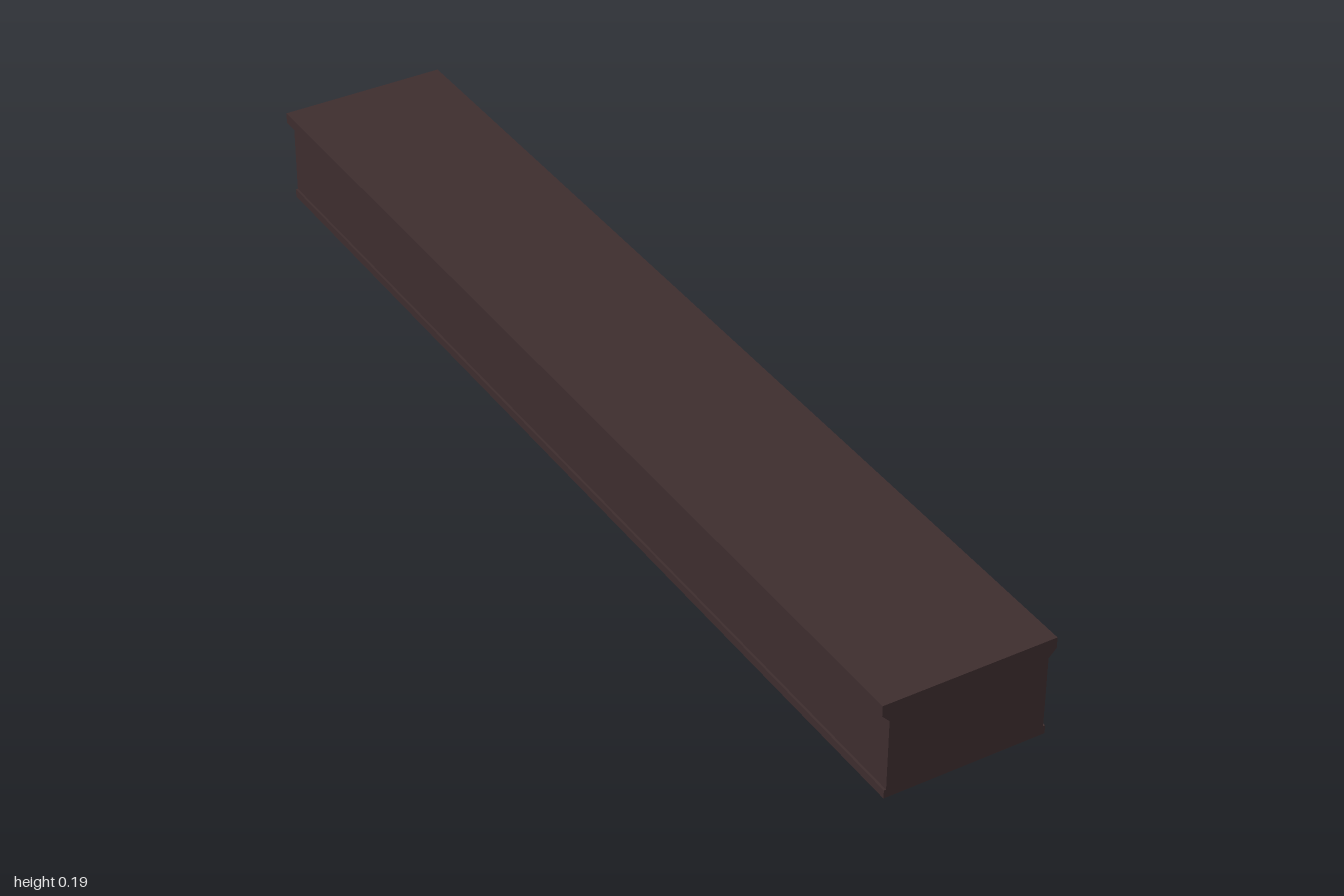
import * as THREE from 'three';

const LENGTH = 2;

// Extrudes a mirrored cross-section, given as [half width, height] from bottom to top
function beamPart(name, profile, material) {
  const right = profile.map(([x, y]) => new THREE.Vector2(x, y));
  const left = profile.map(([x, y]) => new THREE.Vector2(-x, y)).reverse();
  const geometry = new THREE.ExtrudeGeometry(new THREE.Shape([...right, ...left]), {
    depth: LENGTH,
    bevelEnabled: false,
  });
  geometry.translate(0, 0, -LENGTH / 2);
  const mesh = new THREE.Mesh(geometry, material);
  mesh.name = name;
  return mesh;
}

export function createModel() {
  const group = new THREE.Group();
  group.name = 'beam';
  const darkWood = new THREE.MeshStandardMaterial({ color: 0x3d2d2e });
  darkWood.name = 'dark brown';

  group.add(
    // Low plinth, slightly wider than the body
    beamPart('basePlinth', [[0.15, 0], [0.15, 0.016]], darkWood),
    // Plain main body
    beamPart('body', [[0.146, 0.016], [0.146, 0.151]], darkWood),
    // Overhanging cap with a chamfered underside
    beamPart('cap', [[0.146, 0.151], [0.16, 0.166], [0.16, 0.186]], darkWood),
  );
  return group;
}
